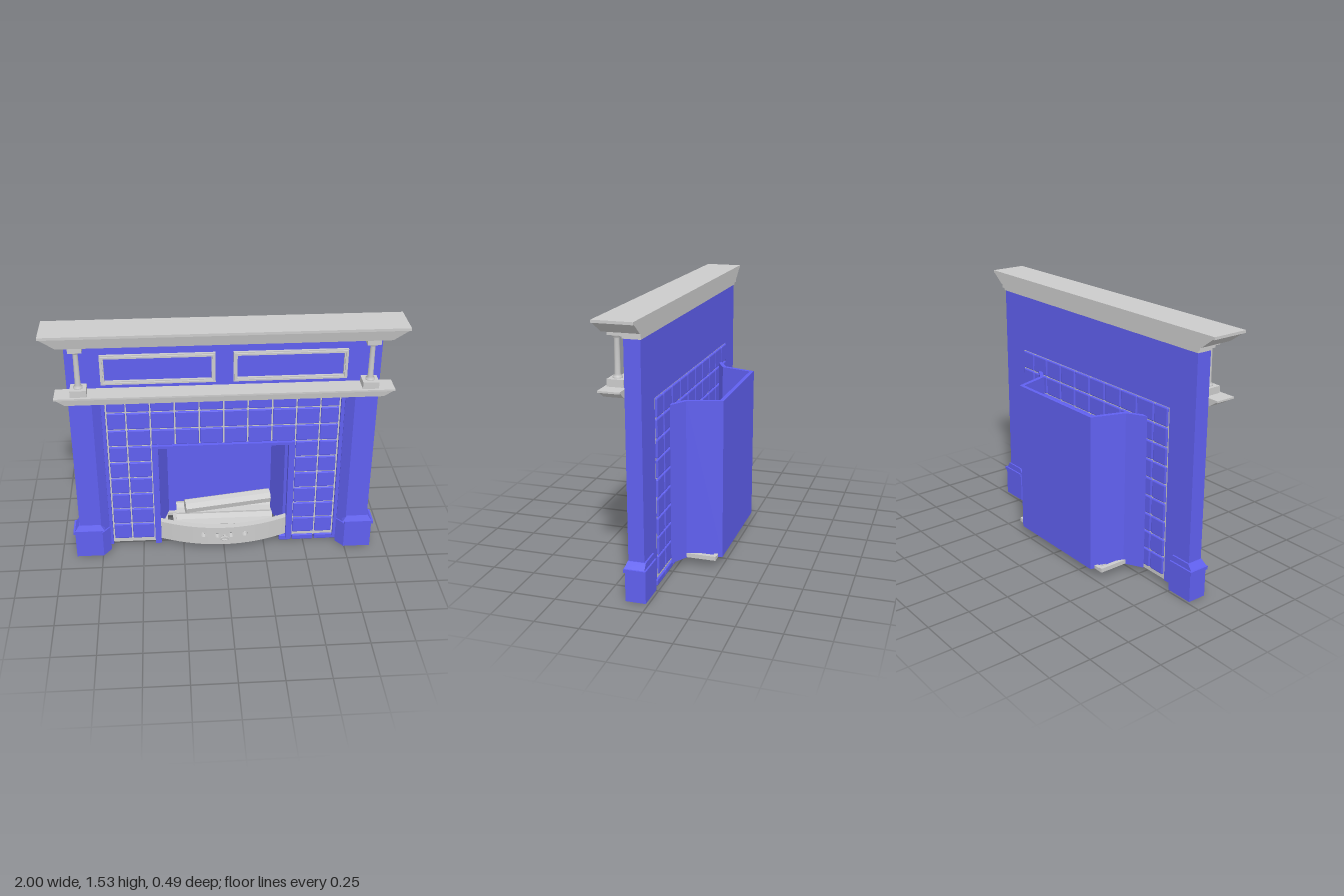
import * as THREE from 'three';
import { RoundedBoxGeometry } from 'three/addons/geometries/RoundedBoxGeometry.js';

export function createModel() {
  const root = new THREE.Group();
  const grey = new THREE.MeshStandardMaterial({ color: 0xcccccc, flatShading: true });
  const smoothGrey = new THREE.MeshStandardMaterial({ color: 0xcccccc });
  const blue = new THREE.MeshStandardMaterial({ color: 0x6060f0, flatShading: true });

  const add = (name, geo, mat) => {
    const mesh = new THREE.Mesh(geo, mat);
    mesh.name = name;
    root.add(mesh);
    return mesh;
  };
  // Box given by its limits on each axis
  const box = (name, mat, x0, x1, y0, y1, z0, z1) => {
    const geo = new THREE.BoxGeometry(Math.abs(x1 - x0), y1 - y0, z1 - z0);
    geo.translate((x0 + x1) / 2, (y0 + y1) / 2, (z0 + z1) / 2);
    return add(name, geo, mat);
  };
  // Moulding with a flat back whose front and ends flare from bottom to top
  const flared = (name, mat, cx, y0, y1, back, [halfB, frontB], [halfT, frontT]) => {
    const geo = new THREE.BoxGeometry(1, 1, 1);
    const p = geo.attributes.position;
    for (let i = 0; i < p.count; i++) {
      const top = p.getY(i) > 0;
      p.setXYZ(i, cx + Math.sign(p.getX(i)) * (top ? halfT : halfB), top ? y1 : y0,
        p.getZ(i) > 0 ? (top ? frontT : frontB) : back);
    }
    geo.computeVertexNormals();
    return add(name, geo, mat);
  };
  // Plan outline of [x, z] points raised from y0 to y1
  const raised = (name, mat, pts, y0, y1) => {
    const shape = new THREE.Shape(pts.map(([x, z]) => new THREE.Vector2(x, -z)));
    const geo = new THREE.ExtrudeGeometry(shape, { depth: y1 - y0, bevelEnabled: false });
    geo.rotateX(-Math.PI / 2).translate(0, y0, 0);
    return add(name, geo, mat);
  };
  const rect = (path, x0, x1, y0, y1) =>
    path.moveTo(x0, y0).lineTo(x1, y0).lineTo(x1, y1).lineTo(x0, y1).closePath();
  // Rectangular ring facing the front
  const ring = (name, mat, x0, x1, y0, y1, w, z0, z1) => {
    const shape = rect(new THREE.Shape(), x0, x1, y0, y1);
    shape.holes.push(rect(new THREE.Path(), x0 + w, x1 - w, y0 + w, y1 - w));
    const geo = new THREE.ExtrudeGeometry(shape, { depth: z1 - z0, bevelEnabled: false });
    return add(name, geo.translate(0, 0, z0), mat);
  };

  // Mantel shelf, cornice and lower shelf
  box('mantelTop', grey, -1, 1, 1.52, 1.535, 0.02, 0.24);
  flared('mantelMoulding', grey, 0, 1.46, 1.52, 0.02, [0.91, 0.225], [0.99, 0.24]);
  box('corniceUpper', grey, -0.9, 0.9, 1.44, 1.46, 0.02, 0.13);
  box('corniceLower', grey, -0.885, 0.885, 1.425, 1.44, 0.025, 0.125);
  flared('lowerShelf', grey, 0, 1.12, 1.155, 0.12, [0.885, 0.232], [0.935, 0.238]);
  box('lowerShelfTop', grey, -0.945, 0.945, 1.155, 1.165, 0.12, 0.24);

  // Upper board with two framed panels
  box('upperBoard', blue, -0.88, 0.88, 1.09, 1.43, 0.03, 0.12);
  for (const x of [-0.69, 0.05]) {
    ring('panelFrame', grey, x, x + 0.64, 1.19, 1.37, 0.022, 0.12, 0.135);
    ring('panelFrameBead', grey, x + 0.006, x + 0.634, 1.196, 1.364, 0.01, 0.135, 0.145);
  }

  for (const s of [-1, 1]) {
    // Pilaster with splayed inner side
    raised('pilaster', blue, [[s * 0.88, 0.03], [s * 0.88, 0.12], [s * 0.75, 0.12],
      [s * 0.705, 0.065], [s * 0.705, 0.03]], 0.03, 1.12);
    box('pilasterBead', blue, s * 0.705, s * 0.685, 0.03, 1.09, 0.03, 0.06);
    // Plinth and its stepped cap
    raised('plinth', blue, [[s * 0.91, 0.015], [s * 0.91, 0.13], [s * 0.745, 0.13],
      [s * 0.7, 0.07], [s * 0.74, 0.015]], 0, 0.17);
    box('plinthCap', blue, s * 0.92, s * 0.745, 0.17, 0.19, 0.01, 0.137);
    flared('plinthCapSlope', blue, s * 0.82, 0.19, 0.225, 0.02, [0.09, 0.135], [0.065, 0.121]);
    // Small column between the shelves
    const cx = s * 0.81;
    box('columnBase', grey, cx - 0.045, cx + 0.045, 1.165, 1.205, 0.135, 0.225);
    box('columnCapital', grey, cx - 0.038, cx + 0.038, 1.43, 1.46, 0.13, 0.22);
    const profile = [[0.026, 1.205], [0.026, 1.214], [0.016, 1.225], [0.014, 1.41], [0.026, 1.42], [0.026, 1.43]];
    const shaft = new THREE.LatheGeometry(profile.map(([r, y]) => new THREE.Vector2(r, y)), 16);
    add('columnShaft', shaft.translate(cx, 0, 0.182), smoothGrey);
  }
  box('surroundTopBead', blue, -0.705, 0.705, 1.075, 1.095, 0.03, 0.06);

  // Grout backing around the opening
  const grout = new THREE.Shape([[-0.69, 0.035], [-0.41, 0.035], [-0.41, 0.73], [0.41, 0.73],
    [0.41, 0.035], [0.69, 0.035], [0.69, 1.095], [-0.69, 1.095]].map(([x, y]) => new THREE.Vector2(x, y)));
  add('grout', new THREE.ExtrudeGeometry(grout, { depth: 0.008, bevelEnabled: false }).translate(0, 0, 0.032), grey);

  // Tiles: two columns down each side, three full rows above
  const tile = (x0, x1, y0, y1) => {
    const geo = new RoundedBoxGeometry(x1 - x0 - 0.008, y1 - y0 - 0.008, 0.03, 1, 0.006);
    add('tile', geo.translate((x0 + x1) / 2, (y0 + y1) / 2, 0.035), blue);
  };
  const cols = [-0.68, -0.567, -0.427, -0.285, -0.142, 0, 0.142, 0.285, 0.427, 0.567, 0.68];
  const rows = [0.06, 0.175, 0.287, 0.398, 0.51, 0.622, 0.733, 0.845, 0.96, 1.075];
  for (let r = 0; r < 9; r++)
    for (let c = 0; c < 10; c++)
      if (r >= 6 || c < 2 || c > 7) tile(cols[c], cols[c + 1], rows[r], rows[r + 1]);
  for (const [a, b] of [[0.345, 0.427], [0.427, 0.567], [0.567, 0.71]]) tile(a, b, 0, 0.045);

  // Trim round the opening
  for (const s of [-1, 1]) box('openingPost', blue, s * 0.425, s * 0.388, 0.03, 0.735, 0.025, 0.065);
  box('openingLintel', blue, -0.388, 0.388, 0.718, 0.735, 0.025, 0.065);

  // Firebox walls, open above and below
  raised('firebox', blue, [[-0.53, 0.01], [-0.42, -0.05], [-0.355, -0.245], [0.335, -0.245], [0.4, -0.05],
    [0.5, 0.01], [0.465, 0.015], [0.378, -0.035], [0.317, -0.222], [-0.337, -0.222], [-0.397, -0.035],
    [-0.49, 0.015]], 0.048, 0.985);

  // Bowed fender in short sections, four of them pierced
  const bow = x => 0.035 + 0.095 * (1 - (x / 0.4) ** 2);
  const step = 0.0425;
  for (let k = -9; k <= 9; k++) {
    const x = k * step, x0 = Math.max(x - step / 2, -0.39), x1 = Math.min(x + step / 2, 0.39);
    const shape = rect(new THREE.Shape(), x0, x1, 0.05, 0.175);
    if (Math.abs(k) === 1 || Math.abs(k) === 3) {
      const hole = new THREE.Path();
      for (let i = 0; i < 8; i++) {
        const a = (i + 0.5) * Math.PI / 4;
        const px = x + 0.019 * Math.cos(a), py = 0.12 + 0.019 * Math.sin(a);
        i ? hole.lineTo(px, py) : hole.moveTo(px, py);
      }
      shape.holes.push(hole.closePath());
    }
    const geo = new THREE.ExtrudeGeometry(shape, { depth: 0.04, bevelEnabled: false });
    const p = geo.attributes.position;
    for (let i = 0; i < p.count; i++) {
      const t = (p.getX(i) - x0) / (x1 - x0);
      p.setZ(i, p.getZ(i) - 0.04 + bow(x0) * (1 - t) + bow(x1) * t);
    }
    geo.computeVertexNormals();
    add('fender', geo, grey);
  }
  const handle = new THREE.TorusGeometry(0.02, 0.005, 8, 20).scale(1.1, 0.6, 1);
  add('fenderRing', handle.translate(0, 0.108, 0.147), smoothGrey);
  box('fenderRingStem', grey, -0.005, 0.005, 0.115, 0.125, 0.128, 0.152);

  // Grate: rails and slats reaching the fender
  box('grateBackRail', grey, -0.43, 0.4, 0.05, 0.07, -0.222, -0.2);
  box('grateFrontRail', grey, -0.4, 0.4, 0.052, 0.07, -0.015, 0.01);
  for (let i = -5; i <= 5; i++)
    box('grateSlat', grey, i * 0.073 - 0.02, i * 0.073 + 0.02, 0.05, 0.066, -0.22, bow(i * 0.073) - 0.01);
  for (const [a, b] of [[-0.43, -0.405], [0.375, 0.4]]) box('grateSide', grey, a, b, 0.05, 0.075, -0.222, 0.01);

  // Logs, one lying across two
  const log = (a, b, r) => {
    const from = new THREE.Vector3(...a), to = new THREE.Vector3(...b), dir = to.clone().sub(from);
    const mesh = add('log', new THREE.CylinderGeometry(r, r, dir.length(), 8), grey);
    mesh.position.copy(from).add(to).multiplyScalar(0.5);
    mesh.quaternion.setFromUnitVectors(new THREE.Vector3(0, 1, 0), dir.normalize());
  };
  log([-0.29, 0.12, -0.165], [0.31, 0.12, -0.165], 0.05);
  log([-0.29, 0.115, -0.045], [0.31, 0.115, -0.045], 0.05);
  log([-0.235, 0.195, -0.085], [0.305, 0.2, -0.17], 0.046);

  return root;
}
